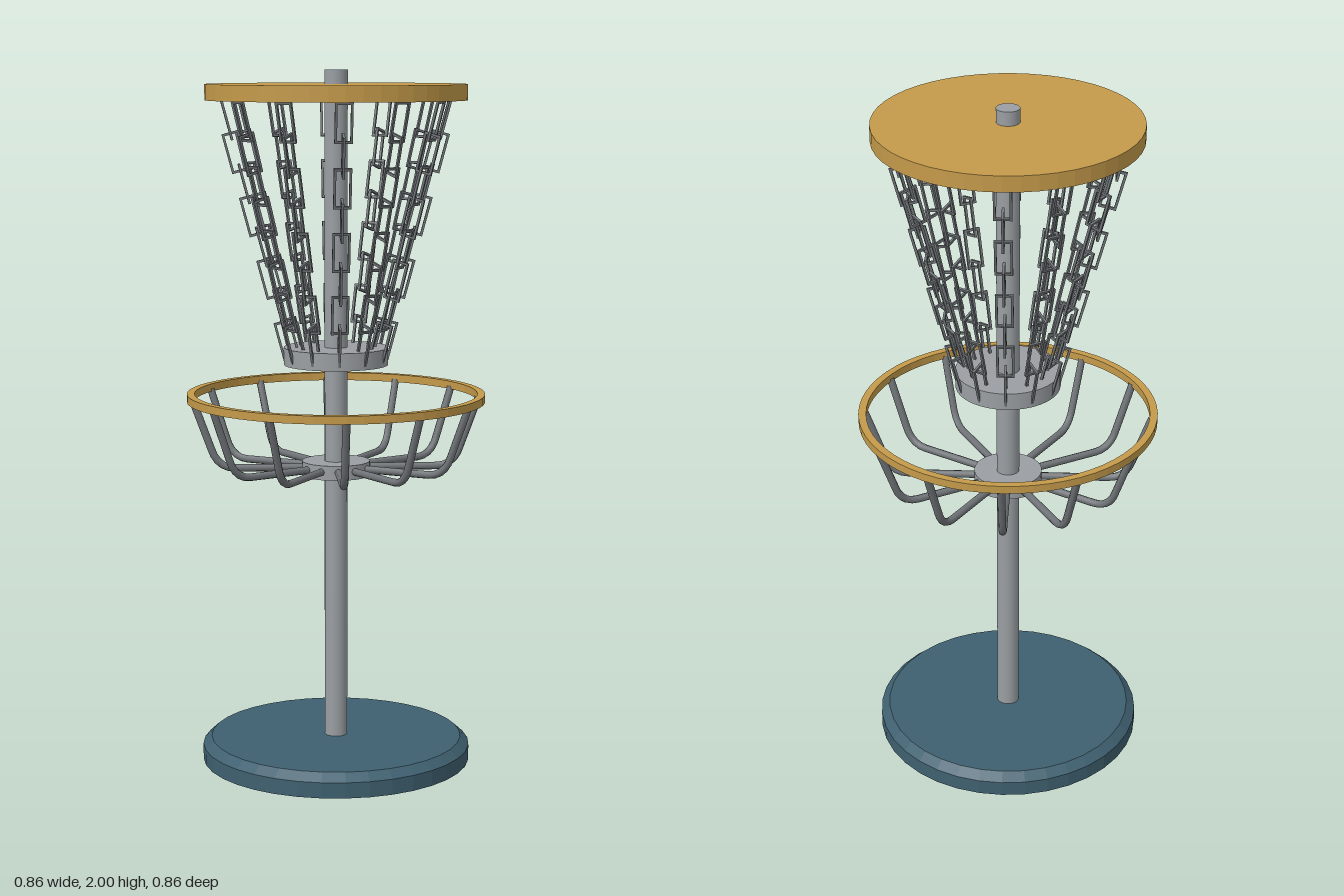
import * as THREE from 'three';

const mat = (color, flatShading = false) => new THREE.MeshStandardMaterial({ color, flatShading });
const gold = mat(0xc49a4a, true);
const blue = mat(0x3f6070, true);
const steel = mat(0x9a9fa3);
const wire = mat(0x707478);

function add(parent, name, geometry, material, y = 0) {
  const mesh = new THREE.Mesh(geometry, material);
  mesh.name = name;
  mesh.position.y = y;
  parent.add(mesh);
  return mesh;
}

// Upright cylinder between two heights
function disc(parent, name, radius, y0, y1, material, sides = 48) {
  return add(parent, name, new THREE.CylinderGeometry(radius, radius, y1 - y0, sides), material, (y0 + y1) / 2);
}

// Rectangular chain link made of thin bar
function linkGeometry(width, length, bar) {
  const rect = (Type, w, h) => new Type([[-w, -h], [w, -h], [w, h], [-w, h]].map(([x, y]) => new THREE.Vector2(x, y)));
  const shape = rect(THREE.Shape, width / 2, length / 2);
  shape.holes.push(rect(THREE.Path, width / 2 - bar, length / 2 - bar));
  const g = new THREE.ExtrudeGeometry(shape, { depth: bar, bevelEnabled: false });
  return g.translate(0, 0, -bar / 2);
}

export function createModel() {
  const model = new THREE.Group();
  model.name = 'discBasket';

  // Base with bevelled rim, and the pole
  const profile = [[0, 0], [0.39, 0], [0.39, 0.045], [0.365, 0.068], [0, 0.068]];
  add(model, 'base', new THREE.LatheGeometry(profile.map(p => new THREE.Vector2(...p)), 36), blue);
  disc(model, 'pole', 0.033, 0.03, 2, steel, 20);

  // Top plate, chain collar and basket hub
  disc(model, 'topPlate', 0.37, 1.915, 1.96, gold);
  disc(model, 'chainCollar', 0.15, 1.165, 1.215, steel, 36);
  disc(model, 'basketHub', 0.098, 0.843, 0.885, steel, 32);

  // Basket rim
  const rim = [[0.406, 1.06], [0.428, 1.06], [0.428, 1.083], [0.406, 1.083], [0.406, 1.06]];
  add(model, 'basketRim', new THREE.LatheGeometry(rim.map(p => new THREE.Vector2(...p)), 60), gold);

  // Bent basket wire, lying in the x-y plane
  const path = new THREE.CurvePath();
  const v = (x, y) => new THREE.Vector3(x, y, 0);
  path.add(new THREE.LineCurve3(v(0.08, 0.866), v(0.29, 0.866)));
  path.add(new THREE.QuadraticBezierCurve3(v(0.29, 0.866), v(0.335, 0.866), v(0.355, 0.91)));
  path.add(new THREE.LineCurve3(v(0.355, 0.91), v(0.412, 1.066)));
  const wireGeometry = new THREE.TubeGeometry(path, 24, 0.011, 8);

  const link = linkGeometry(0.05, 0.115, 0.007);
  const top = v(0.308, 1.86), bottom = v(0.14, 1.235);
  const tilt = Math.atan2(top.x - bottom.x, top.y - bottom.y);
  const count = 12, links = 8;

  for (let i = 0; i < count; i++) {
    const angle = (i / count) * Math.PI * 2;
    add(model, 'basketWire', wireGeometry, wire).rotation.y = angle;

    // Chain of links turned alternately by a quarter
    const chain = new THREE.Group();
    chain.name = 'chain';
    chain.rotation.y = angle;
    for (let k = 0; k < links; k++) {
      const mesh = add(chain, 'chainLink', link, wire);
      mesh.position.lerpVectors(top, bottom, k / (links - 1));
      mesh.rotation.set(0, k % 2 ? 0 : Math.PI / 2, -tilt, 'ZYX');
    }
    model.add(chain);
  }
  return model;
}
